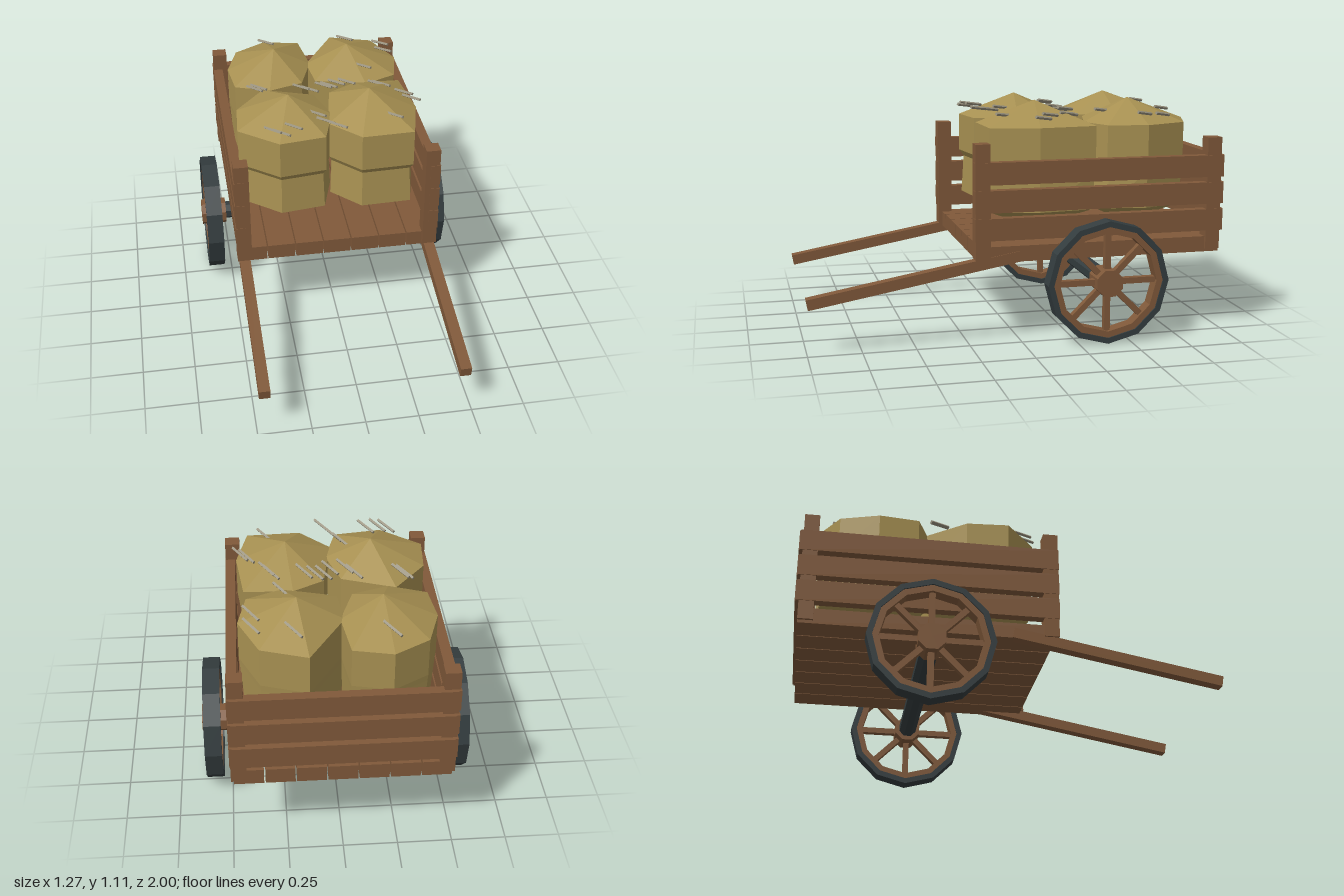
import * as THREE from 'three';

const mat = (name, color) => {
  const m = new THREE.MeshStandardMaterial({ color, flatShading: true });
  m.name = name;
  return m;
};

export function createModel() {
  const cart = new THREE.Group();
  cart.name = 'handcart';
  const wood = mat('wood', 0x80593a);
  const iron = mat('dark iron', 0x343d3f);
  const hay = mat('hay', 0xa89152);
  const straw = mat('dry straw', 0x98917e);

  const add = (parent, name, geo, material, x = 0, y = 0, z = 0) => {
    const m = new THREE.Mesh(geo, material);
    m.name = name;
    m.position.set(x, y, z);
    parent.add(m);
    return m;
  };
  const box = (parent, name, material, w, h, d, x, y, z) =>
    add(parent, name, new THREE.BoxGeometry(w, h, d), material, x, y, z);

  // Floor planks
  for (let i = -3; i <= 3; i++) {
    box(cart, 'floorPlank', wood, 0.132, 0.075, 1.18, i * 0.1385, 0.4225, -0.39);
  }

  // Corner posts, side rails and handles, mirrored
  const railHeights = [0.543, 0.673, 0.803];
  for (const s of [-1, 1]) {
    for (const z of [0.185, -0.945]) {
      box(cart, 'cornerPost', wood, 0.07, 0.54, 0.07, s * 0.46, 0.67, z);
    }
    for (const y of railHeights) {
      box(cart, 'sideRail', wood, 0.048, 0.104, 1.215, s * 0.474, y, -0.385);
    }
    const handle = box(cart, 'handle', wood, 0.052, 0.05, 1.005, s * 0.46, 0.323, 0.5);
    handle.rotation.x = 0.175;
  }

  // Back rails with bolt heads
  for (const y of railHeights) {
    box(cart, 'backRail', wood, 0.97, 0.104, 0.045, 0, y, -0.975);
    for (const s of [-1, 1]) {
      const bolt = add(cart, 'bolt', new THREE.CylinderGeometry(0.01, 0.01, 0.01, 8), iron, s * 0.37, y, -0.95);
      bolt.rotation.x = Math.PI / 2;
    }
  }

  // Axle
  const axleGeo = new THREE.CylinderGeometry(0.045, 0.045, 1.04, 8);
  axleGeo.rotateY(Math.PI / 8).rotateZ(Math.PI / 2);
  add(cart, 'axle', axleGeo, iron, 0, 0.292, -0.385);

  // Twelve-sided ring lying across the x axis
  const ring = (outer, inner, width) => {
    const polygon = (r) => Array.from({ length: 12 }, (_, i) =>
      new THREE.Vector2(r * Math.cos(i * Math.PI / 6), r * Math.sin(i * Math.PI / 6)));
    const shape = new THREE.Shape(polygon(outer));
    shape.holes.push(new THREE.Path(polygon(inner).reverse()));
    const geo = new THREE.ExtrudeGeometry(shape, { depth: width, bevelEnabled: false });
    return geo.translate(0, 0, -width / 2).rotateY(Math.PI / 2);
  };

  // Wheels
  for (const s of [-1, 1]) {
    const wheel = new THREE.Group();
    wheel.name = s > 0 ? 'leftWheel' : 'rightWheel';
    wheel.position.set(s * 0.58, 0.292, -0.385);
    add(wheel, 'tire', ring(0.292, 0.265, 0.08), iron);
    add(wheel, 'rim', ring(0.266, 0.235, 0.066), wood);
    const hub = new THREE.CylinderGeometry(0.067, 0.067, 0.125, 8);
    hub.rotateY(Math.PI / 8).rotateZ(Math.PI / 2);
    add(wheel, 'hub', hub, wood, -s * 0.008);
    for (let i = 0; i < 4; i++) {
      const spoke = box(wheel, 'spokePair', wood, 0.032, 0.49, 0.028, 0, 0, 0);
      spoke.rotation.x = i * Math.PI / 4;
    }
    cart.add(wheel);
  }

  // Hay bundles: an outline swept through rows of [height, scale, front scale]
  const rows = [[1.11, 0, 0], [1.0, 1, 1], [0.815, 1, 1], [0.785, 0.99, 0.92], [0.6, 0.94, 0.96], [0.49, 0, 0]];
  const bundle = (cx, cz, outline) => {
    const pos = [];
    const point = (r, k) => {
      const [x, z] = outline[k % outline.length];
      const f = z > cz ? rows[r][2] : rows[r][1];
      return [cx + (x - cx) * f, rows[r][0], cz + (z - cz) * f];
    };
    for (let r = 0; r < rows.length - 1; r++) {
      for (let k = 0; k < outline.length; k++) {
        const a = point(r, k), b = point(r, k + 1), c = point(r + 1, k + 1), d = point(r + 1, k);
        if (r > 0) pos.push(...a, ...b, ...c);
        if (r < rows.length - 2) pos.push(...a, ...c, ...d);
      }
    }
    const geo = new THREE.BufferGeometry();
    geo.setAttribute('position', new THREE.Float32BufferAttribute(pos, 3));
    geo.computeVertexNormals();
    add(cart, 'hayBundle', geo, hay);
  };
  bundle(-0.19, -0.13, [[-0.435, -0.21], [-0.285, -0.39], [-0.04, -0.3], [0.02, -0.1],
    [-0.04, 0.11], [-0.265, 0.14], [-0.45, -0.01]]);
  bundle(0.21, -0.13, [[0.04, -0.31], [0.185, -0.39], [0.41, -0.38], [0.44, -0.1],
    [0.385, 0.13], [0.13, 0.14], [-0.01, -0.01]]);
  bundle(0.18, -0.61, [[0.14, -0.91], [0.35, -0.84], [0.44, -0.63], [0.4, -0.44],
    [0.24, -0.37], [-0.01, -0.44], [-0.03, -0.63]]);
  bundle(-0.2, -0.61, [[-0.38, -0.815], [-0.22, -0.91], [-0.04, -0.87], [-0.01, -0.63],
    [-0.08, -0.43], [-0.25, -0.375], [-0.42, -0.44], [-0.44, -0.63]]);

  // Loose straws on top, all lying the same way
  const spots = [[-0.33, -0.33], [-0.31, -0.33], [-0.22, -0.8], [0.38, -0.72], [0.38, -0.63], [0.24, -0.46],
    [-0.25, 0.11], [-0.29, 0.09], [-0.19, 0.08], [-0.03, 0.03], [-0.06, -0.03], [0.02, 0.1],
    [-0.1, -0.31], [-0.06, -0.27], [0.01, -0.29], [0.04, -0.31], [0.08, -0.32], [0.13, -0.31],
    [0.28, -0.29], [0.3, -0.27], [0.39, -0.16], [0.42, -0.12], [0.3, 0.04], [0.2, -0.78]];
  const along = new THREE.Vector3(0.07, 0.018, 0.095).normalize();
  spots.forEach(([x, z], i) => {
    const stalk = box(cart, 'straw', straw, 0.011, 0.115, 0.011, x, 1.045 + (i % 3) * 0.006, z);
    stalk.quaternion.setFromUnitVectors(new THREE.Vector3(0, 1, 0), along);
  });

  return cart;
}
